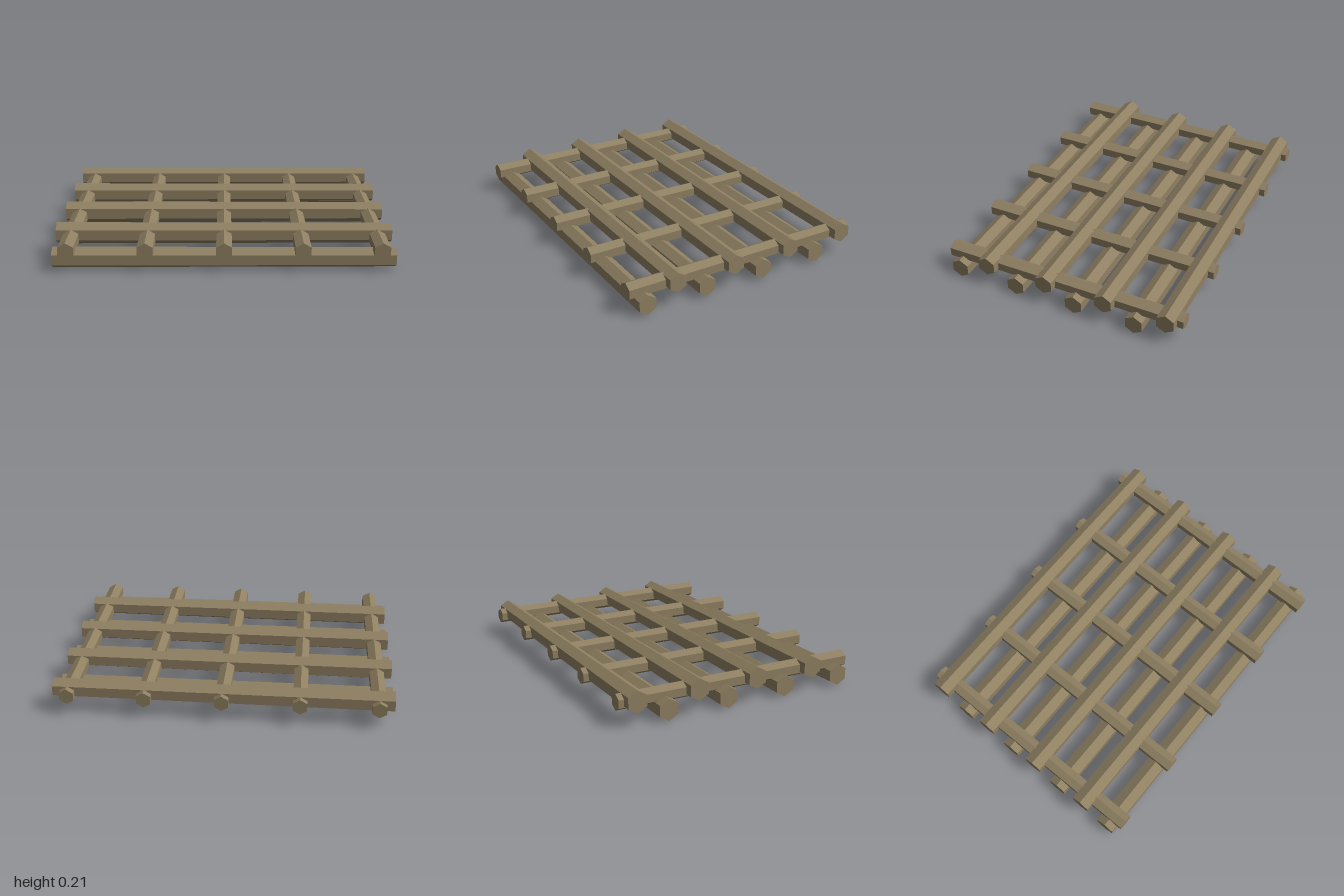
import * as THREE from 'three';

const wood = new THREE.MeshStandardMaterial({ color: 0x8f8062, flatShading: true });

// Slightly tapered hexagonal pole, lying along z with a ridge on top
function poleGeometry(frontRadius, backRadius, length) {
  return new THREE.CylinderGeometry(frontRadius, backRadius, length, 6).rotateX(Math.PI / 2);
}

export function createModel() {
  const model = new THREE.Group();
  model.name = 'poleLattice';

  function addPole(name, geometry, x, y, z) {
    const pole = new THREE.Mesh(geometry, wood);
    pole.name = name;
    pole.position.set(x, y, z);
    model.add(pole);
  }

  // Five thin poles running front to back
  const thin = poleGeometry(0.053, 0.048, 1.51);
  for (let i = 0; i < 5; i++) {
    addPole(`lengthwisePole${i + 1}`, thin, -0.91 + i * 0.455, 0.131, 0);
  }

  // Eight thicker cross poles, alternately under and over the thin ones
  const thick = poleGeometry(0.06, 0.065, 2).rotateY(Math.PI / 2);
  for (let i = 0; i < 8; i++) {
    const over = i % 2 === 1;
    addPole(`${over ? 'upper' : 'lower'}CrossPole${i + 1}`, thick, 0, over ? 0.146 : 0.065, 0.666 - i * 0.1903);
  }
  return model;
}
